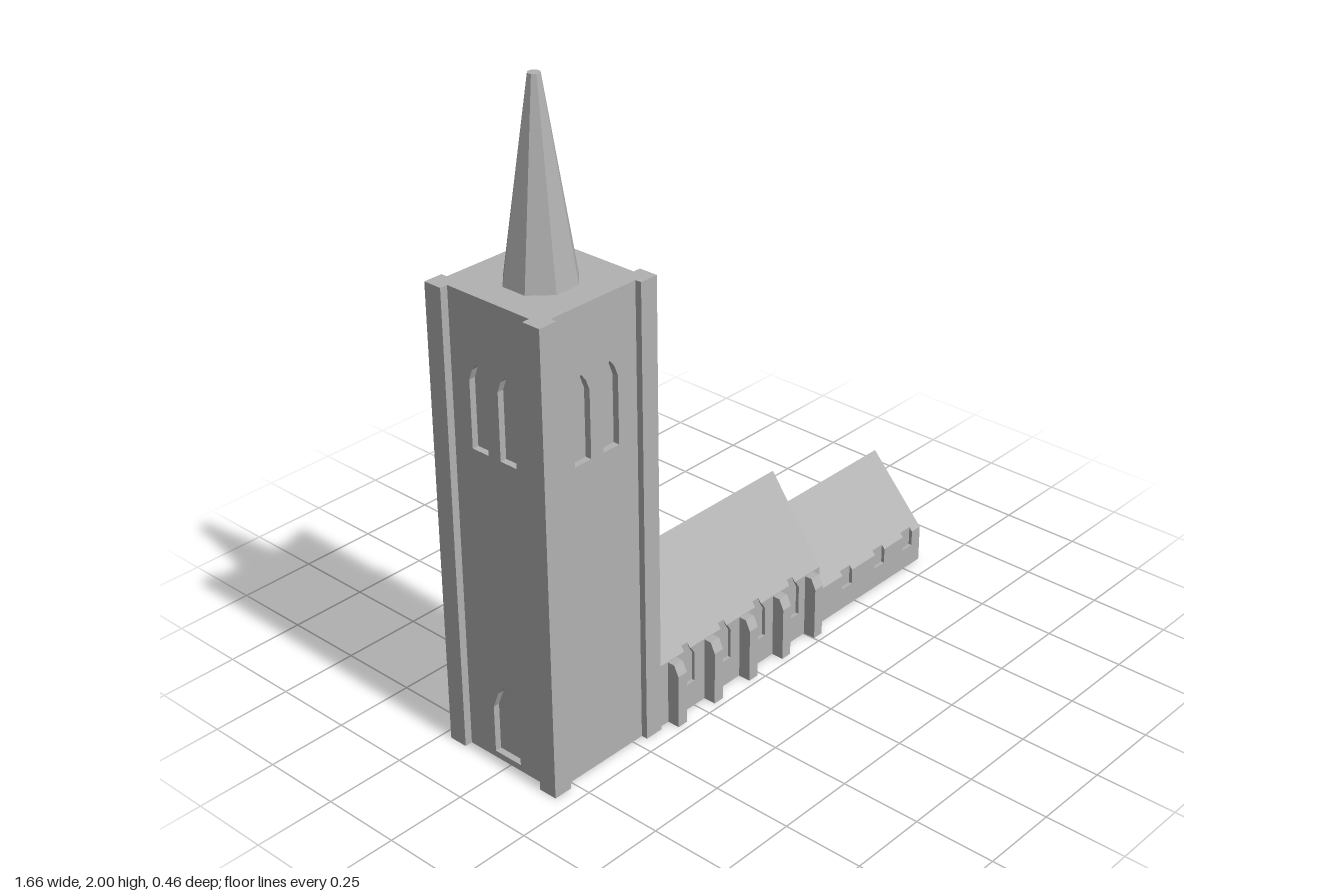
import * as THREE from 'three';

const stone = new THREE.MeshStandardMaterial({ color: 0xb2b2b2 });
stone.name = 'grey stone';

function add(parent, name, geo, x = 0, y = 0, z = 0, ry = 0) {
  const flat = geo.index ? geo.toNonIndexed() : geo;
  flat.computeVertexNormals();
  const mesh = new THREE.Mesh(flat, stone);
  mesh.name = name;
  mesh.position.set(x, y, z);
  mesh.rotation.y = ry;
  parent.add(mesh);
  return mesh;
}

function group(parent, name) {
  const g = new THREE.Group();
  g.name = name;
  parent.add(g);
  return g;
}

const shapeOf = pts => new THREE.Shape(pts.map(p => new THREE.Vector2(p[0], p[1])));
const extrude = (shape, depth) => new THREE.ExtrudeGeometry(shape, { depth, bevelEnabled: false });

// Right-hand half of an opening from sill to head; pointed when spring < top
function halfOpening({ w, y0, spring, top }) {
  const h = w / 2;
  if (spring >= top) return [[h, y0], [h, top]];
  return [[h, y0], [h, spring], [h * 0.58, spring + (top - spring) * 0.6], [0, top]];
}

// Wall with real openings; those taller than the wall become notches in its top edge.
// The inner top edge rises by "rise" to follow the roof slope.
function wallGeometry(x0, x1, height, depth, windows, rise = 0) {
  const outline = [[x0, 0], [x1, 0], [x1, height]];
  const holes = [];
  for (const win of [...windows].sort((a, b) => b.x - a.x)) {
    const half = halfOpening(win);
    const notch = win.top > height;
    if (notch) {
      const i = half.findIndex(p => p[1] > height);
      const [a, b] = [half[i - 1], half[i]];
      const t = (height - a[1]) / (b[1] - a[1]);
      half.splice(i, half.length, [a[0] + (b[0] - a[0]) * t, height]);
    }
    const right = half.map(p => [win.x + p[0], p[1]]).reverse();
    const left = half.filter(p => p[0] > 0).map(p => [win.x - p[0], p[1]]);
    if (notch) outline.push(...right, ...left);
    else holes.push(shapeOf([...right, ...left]));
  }
  outline.push([x0, height]);
  const shape = shapeOf(outline);
  shape.holes = holes;
  const geo = extrude(shape, depth);
  const pos = geo.attributes.position;
  for (let i = 0; i < pos.count; i++) {
    if (pos.getZ(i) < 1e-5 && pos.getY(i) > height - 1e-5) pos.setY(i, height + rise);
  }
  return geo;
}

// Gabled hall along x: solid core behind two long walls with recessed windows
function hall(parent, name, x0, x1, halfWidth, eave, ridge, windows) {
  const g = group(parent, name);
  const depth = 0.011;
  const rise = depth * (ridge - eave) / halfWidth;
  const zi = halfWidth - depth;
  const core = extrude(shapeOf([[-zi, 0], [zi, 0], [zi, eave + rise], [0, ridge], [-zi, eave + rise]]), x1 - x0);
  add(g, name + 'RoofAndGables', core, x0, 0, 0, Math.PI / 2);
  for (const s of [1, -1]) {
    const wins = windows.map(w => ({ ...w, x: w.x * s }));
    const geo = wallGeometry(s > 0 ? x0 : -x1, s > 0 ? x1 : -x0, eave, depth, wins, rise);
    add(g, name + (s > 0 ? 'FrontWall' : 'BackWall'), geo, 0, 0, zi * s, s > 0 ? 0 : Math.PI);
  }
  return g;
}

export function createModel() {
  const model = new THREE.Group();
  model.name = 'church';

  // Tower: core, four walls with paired belfry openings, corner piers
  const tower = group(model, 'tower');
  tower.position.set(-0.616, 0, -0.01);
  const H = 1.435, half = 0.19, recess = 0.02;
  const inner = half - recess;
  add(tower, 'towerCore', new THREE.BoxGeometry(inner * 2, H, inner * 2), 0, H / 2, 0);
  const belfry = [-0.053, 0.053].map(x => ({ x, w: 0.06, y0: 0.98, spring: 1.185, top: 1.24 }));
  const door = { x: 0, w: 0.1, y0: 0.02, spring: 0.17, top: 0.26 };
  ['Front', 'Left', 'Back', 'Right'].forEach((side, i) => {
    const a = i * Math.PI / 2;
    const wins = side === 'Right' ? [...belfry, door] : belfry;
    add(tower, 'tower' + side + 'Wall', wallGeometry(-half, half, H, recess, wins),
      Math.sin(a) * inner, 0, Math.cos(a) * inner, a);
  });
  for (const sx of [-1, 1]) for (const sz of [-1, 1]) {
    add(tower, 'cornerPier', new THREE.BoxGeometry(0.06, H, 0.06), sx * 0.184, H / 2, sz * 0.18);
  }

  // Eight-sided spire with a blunt tip, flat sides facing the axes
  const spire = new THREE.CylinderGeometry(0.018, 0.106, 2 - H, 8);
  spire.rotateY(Math.PI / 8);
  add(model, 'spire', spire, -0.621, (2 + H) / 2, -0.005);

  // Nave with pointed windows, lower chancel with square ones
  hall(model, 'nave', -0.43, 0.32, 0.19, 0.207, 0.47,
    [-0.28, -0.122, 0.033, 0.19].map(x => ({ x, w: 0.065, y0: 0.085, spring: 0.18, top: 0.217 })));
  hall(model, 'chancel', 0.31, 0.83, 0.19, 0.12, 0.33,
    [0.459, 0.622, 0.765].map(x => ({ x, w: 0.048, y0: 0.07, spring: 0.13, top: 0.13 })));

  // Buttresses with sloped outer tops
  const buttresses = group(model, 'buttresses');
  const profile = shapeOf([[-0.02, 0], [0.042, 0], [0.042, 0.172], [0.026, 0.205], [-0.02, 0.205]]);
  for (const x of [-0.343, -0.187, -0.032, 0.12, 0.27]) {
    for (const s of [1, -1]) {
      const geo = extrude(profile, 0.036);
      geo.translate(0, 0, -0.018);
      add(buttresses, 'buttress', geo, x, 0, 0.188 * s, -s * Math.PI / 2);
    }
  }
  return model;
}
